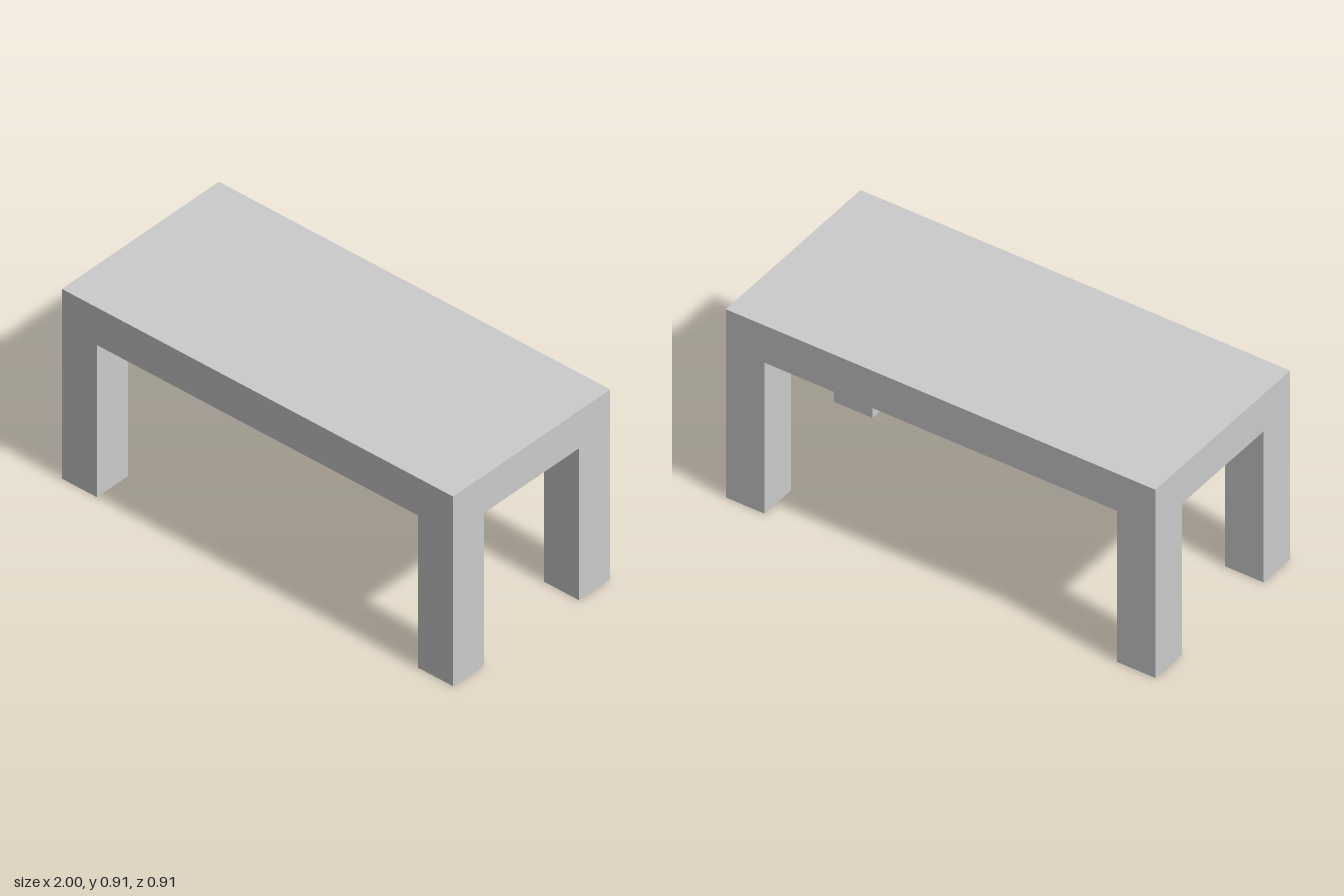
import * as THREE from 'three';

const WIDTH = 2;
const DEPTH = 0.91;
const HEIGHT = 0.91;
const BEAM = 0.18; // thickness of the top and of each square leg

export function createModel() {
  const table = new THREE.Group();
  table.name = 'table';
  const material = new THREE.MeshStandardMaterial({ color: 0xcccccc, flatShading: true });

  // Thick slab top
  const top = new THREE.Mesh(new THREE.BoxGeometry(WIDTH, BEAM, DEPTH), material);
  top.name = 'tableTop';
  top.position.y = HEIGHT - BEAM / 2;
  table.add(top);

  // Four square legs, flush with the corners of the top
  const legHeight = HEIGHT - BEAM;
  const legGeometry = new THREE.BoxGeometry(BEAM, legHeight, BEAM);
  for (const [sideName, sx] of [['Left', 1], ['Right', -1]]) {
    for (const [endName, sz] of [['front', 1], ['back', -1]]) {
      const leg = new THREE.Mesh(legGeometry, material);
      leg.name = `${endName}${sideName}Leg`;
      leg.position.set(sx * (WIDTH - BEAM) / 2, legHeight / 2, sz * (DEPTH - BEAM) / 2);
      table.add(leg);
    }
  }

  return table;
}
